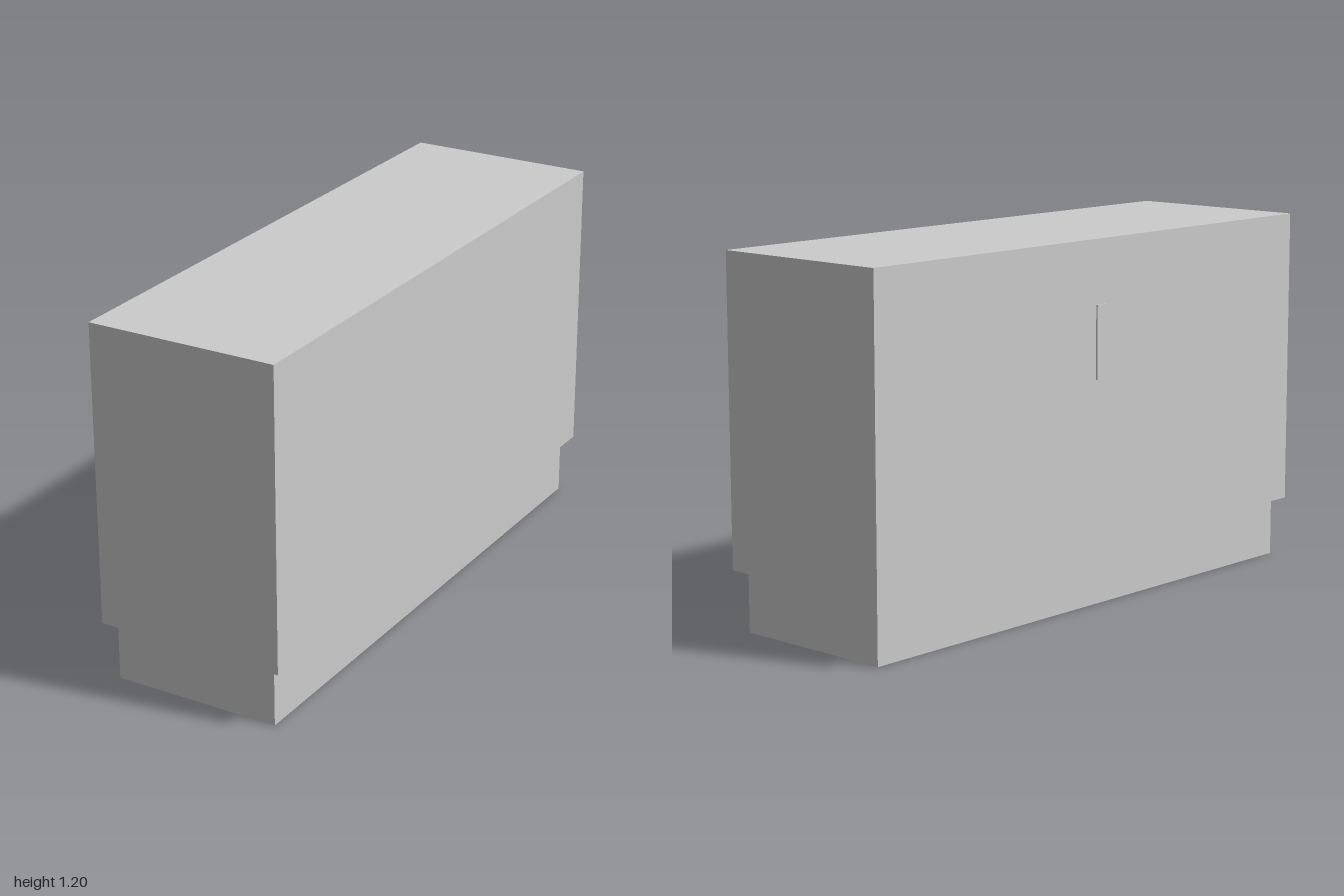
import * as THREE from 'three';

const material = new THREE.MeshStandardMaterial({ color: 0xcccccc, flatShading: true });

// Box named after its part, placed by its bottom centre
function box(name, [w, h, d], [x, y, z]) {
  const mesh = new THREE.Mesh(new THREE.BoxGeometry(w, h, d), material);
  mesh.name = name;
  mesh.position.set(x, y + h / 2, z);
  return mesh;
}

export function createModel() {
  const cabinet = new THREE.Group();
  cabinet.name = 'cabinet';
  const bodyX = 0.002; // body shifts slightly so the handle keeps the whole centred

  cabinet.add(
    // recessed plinth
    box('plinth', [0.57, 0.2, 1.932], [bodyX, 0, 0]),
    // main cabinet block
    box('cabinetBody', [0.64, 1, 2], [bodyX, 0.2, 0]),
    // slim vertical handle on the right side
    box('handle', [0.006, 0.24, 0.04], [-0.321, 0.75, 0]),
  );
  return cabinet;
}
